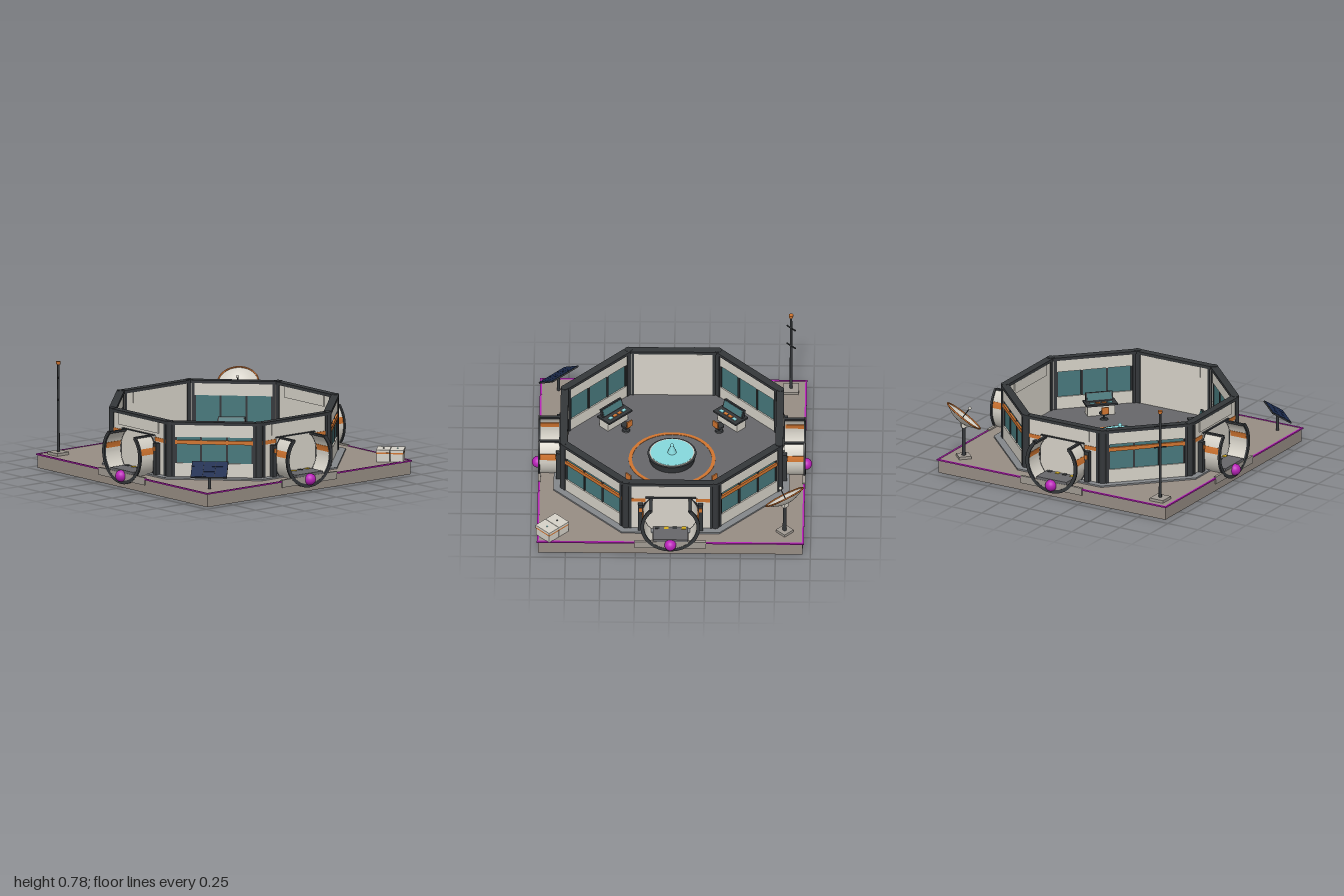
import * as THREE from 'three';
import { toCreasedNormals } from 'three/addons/utils/BufferGeometryUtils.js';

const paint = (color) => new THREE.MeshStandardMaterial({ color });
const cream = paint(0xd6d2c8), dark = paint(0x34373a), orange = paint(0xd0742f), glass = paint(0x47787c);
const glow = paint(0x86d8dc), magenta = paint(0xb822b8), navy = paint(0x1c2c50), yellow = paint(0xd8b020);
const soil = paint(0x978d84), slab = paint(0x84878a), deck = paint(0x67676a), stone = paint(0xa09a92);
const dishMat = paint(0xd6d2c8);
dishMat.side = THREE.DoubleSide;

const APOTHEM = 0.77, SIDE = 0.638, CORNER = 0.834, GROUND = 0.1, FLOOR = 0.118;

function add(parent, name, geo, mat, x = 0, y = 0, z = 0) {
  const m = new THREE.Mesh(geo, mat);
  m.name = name;
  m.position.set(x, y, z);
  parent.add(m);
  return m;
}
const box = (p, name, mat, w, h, d, x, y, z) => add(p, name, new THREE.BoxGeometry(w, h, d), mat, x, y, z);
const cyl = (p, name, mat, r0, r1, h, x, y, z, n = 24) => add(p, name, new THREE.CylinderGeometry(r0, r1, h, n), mat, x, y, z);

function group(parent, name, x = 0, y = 0, z = 0, ry = 0) {
  const g = new THREE.Group();
  g.name = name;
  g.position.set(x, y, z);
  g.rotation.y = ry;
  parent.add(g);
  return g;
}

// Extruded sector of a ring, lying in the xy plane
function arcBand(r0, r1, a0, a1, depth) {
  const s = new THREE.Shape();
  s.absarc(0, 0, r1, a0, a1, false);
  s.absarc(0, 0, r0, a1, a0, true);
  s.closePath();
  return toCreasedNormals(new THREE.ExtrudeGeometry(s, { depth, bevelEnabled: false, curveSegments: 32 }), 0.6);
}

function octagon(p, name, mat, apothem, y0, y1) {
  const r = apothem / Math.cos(Math.PI / 8);
  const m = cyl(p, name, mat, r, r, y1 - y0, 0, (y0 + y1) / 2, 0, 8);
  m.geometry.rotateY(Math.PI / 8);
  m.geometry = toCreasedNormals(m.geometry, 0.3);
}

// Diagonal wall: three panes between a sill and a header
function windowWall(w) {
  box(w, 'sill', cream, SIDE, 0.1, 0.04, 0, 0.16, 0);
  box(w, 'header', cream, SIDE, 0.1, 0.04, 0, 0.45, 0);
  box(w, 'windowGlass', glass, 0.58, 0.2, 0.02, 0, 0.305, 0);
  for (const s of [-1, 1]) {
    box(w, 'wallEnd', cream, 0.04, 0.2, 0.04, s * 0.3, 0.305, 0);
    for (const x of [0.093, 0.275]) box(w, 'mullion', dark, 0.014, 0.2, 0.034, s * x, 0.305, 0);
  }
  box(w, 'wallStripe', orange, 0.6, 0.028, 0.02, 0, 0.362, 0.014);
}

// Straight wall with a closed door and a docking tunnel open at the top
function dockWall(w) {
  box(w, 'solidWall', cream, SIDE, 0.39, 0.04, 0, 0.305, 0);
  box(w, 'wallStripe', orange, 0.6, 0.028, 0.01, 0, 0.362, 0.019);
  for (const z of [-0.022, 0.022]) box(w, 'upperPanel', cream, 0.44, 0.08, 0.012, 0, 0.448, z);
  box(w, 'door', cream, 0.36, 0.27, 0.02, 0, 0.25, 0.022);
  box(w, 'doorHead', dark, 0.36, 0.008, 0.024, 0, 0.387, 0.022);

  const t = group(w, 'dockingTunnel', 0, 0.24, 0);
  const a0 = Math.PI * 0.75, a1 = Math.PI * 2.25;
  add(t, 'tunnelShell', arcBand(0.19, 0.202, a0, a1, 0.165), cream, 0, 0, 0.012);
  add(t, 'tunnelRing', arcBand(0.188, 0.213, a0, a1, 0.014), dark, 0, 0, 0.172);
  add(t, 'wallRing', arcBand(0.188, 0.21, a0, a1, 0.014), dark, 0, 0, 0.02);
  for (const a of [0.09, Math.PI - 0.32])
    add(t, 'tunnelStripe', arcBand(0.188, 0.205, a, a + 0.23, 0.13), orange, 0, 0, 0.04);
  for (const s of [-1, 1]) {
    box(t, 'edgeRail', dark, 0.022, 0.014, 0.165, s * 0.139, 0.14, 0.095);
    box(w, 'sidePillar', dark, 0.035, 0.23, 0.035, s * 0.215, 0.225, 0.038);
    box(w, 'pillarLamp', orange, 0.02, 0.03, 0.006, s * 0.215, 0.3, 0.058);
  }
  box(w, 'tunnelFloor', deck, 0.25, 0.03, 0.165, 0, 0.115, 0.1);
  [-0.095, -0.03, 0.03, 0.095].forEach((x, i) =>
    box(w, 'floorMark', i % 2 ? yellow : dark, 0.03, 0.004, 0.03, x, 0.131, 0.045));
  box(w, 'collarPlate', stone, 0.51, 0.055, 0.02, 0, 0.083, 0.175);
  add(w, 'dockBall', new THREE.SphereGeometry(0.042, 24, 16), magenta, 0, 0.086, 0.188);
}

// Desk faces -z, toward the room centre
function consoleDesk(p) {
  box(p, 'deskBody', cream, 0.2, 0.08, 0.085, 0, 0.158, 0.01);
  box(p, 'deskTop', dark, 0.23, 0.014, 0.125, 0, 0.204, 0);
  const s = box(p, 'screenCase', dark, 0.2, 0.065, 0.02, 0, 0.24, 0.035);
  s.rotation.x = 0.3;
  box(s, 'screen', glass, 0.18, 0.05, 0.004, 0, 0, -0.011);
  [-0.066, -0.022, 0.022, 0.066].forEach((x, i) =>
    box(p, 'deskKey', i % 3 ? orange : glow, 0.03, 0.005, 0.022, x, 0.213, -0.025));
  const c = group(p, 'chair', 0, 0, -0.115);
  cyl(c, 'chairFoot', dark, 0.025, 0.03, 0.008, 0, FLOOR + 0.004, 0);
  cyl(c, 'chairPost', dark, 0.007, 0.007, 0.04, 0, 0.14, 0, 12);
  cyl(c, 'chairSeat', dark, 0.035, 0.035, 0.014, 0, 0.165, 0);
  box(c, 'chairBack', orange, 0.05, 0.05, 0.01, 0, 0.195, -0.035);
}

function dishAntenna(p) {
  box(p, 'dishFoot', stone, 0.09, 0.02, 0.09, 0, GROUND + 0.01, 0);
  cyl(p, 'dishPost', dark, 0.012, 0.015, 0.24, 0, 0.23, 0, 12);
  box(p, 'dishMount', cream, 0.04, 0.04, 0.04, 0, 0.352, 0);
  // tilted about local x so the bowl looks up and toward the centre (-z)
  const d = group(p, 'dish', 0, 0.415, 0);
  d.rotation.x = -0.69;
  const profile = [];
  for (let i = 0; i <= 8; i++) profile.push(new THREE.Vector2(0.147 * i / 8, 0.05 * (i / 8) ** 2 - 0.05));
  add(d, 'bowl', new THREE.LatheGeometry(profile, 40), dishMat);
  add(d, 'dishRim', new THREE.TorusGeometry(0.147, 0.006, 8, 48).rotateX(Math.PI / 2), orange);
  cyl(d, 'feedRod', dark, 0.004, 0.004, 0.12, 0, 0.01, 0, 8);
  add(d, 'feedHead', new THREE.SphereGeometry(0.012, 12, 8), cream, 0, 0.07, 0);
}

function mast(p) {
  box(p, 'mastFoot', stone, 0.11, 0.02, 0.11, 0, GROUND + 0.01, 0);
  cyl(p, 'mastPole', dark, 0.008, 0.011, 0.65, 0, 0.435, 0, 12);
  for (const y of [0.5, 0.66]) box(p, 'mastArm', dark, 0.09, 0.008, 0.008, 0, y, 0).rotation.y = Math.PI / 4;
  cyl(p, 'mastTip', orange, 0.017, 0.014, 0.022, 0, 0.767, 0, 16);
}

// Panel faces +z and up
function solarPanel(p) {
  cyl(p, 'panelPost', dark, 0.01, 0.012, 0.14, 0, 0.165, 0, 12);
  const s = group(p, 'panel', 0, 0.237, 0);
  s.rotation.x = 0.57;
  box(s, 'panelFrame', dark, 0.26, 0.01, 0.165, 0, 0, 0);
  for (let i = -1; i <= 1; i++)
    for (let j = -1; j <= 1; j++) box(s, 'solarCell', navy, 0.082, 0.006, 0.051, i * 0.085, 0.004, j * 0.053);
}

function crates(p) {
  for (const s of [-1, 1]) {
    const c = group(p, 'crate', 0, GROUND, s * 0.05);
    box(c, 'crateBody', cream, 0.135, 0.07, 0.092, 0, 0.035, 0);
    box(c, 'crateBand', orange, 0.138, 0.01, 0.095, 0, 0.062, 0);
    box(c, 'crateLid', cream, 0.14, 0.018, 0.097, 0, 0.077, 0);
    cyl(c, 'crateLatch', s > 0 ? glow : dark, 0.006, 0.006, 0.006, 0, 0.088, 0, 12);
  }
}

export function createModel() {
  const root = new THREE.Group();
  root.name = 'outpost';

  // Ground slab, edging and floor
  box(root, 'groundSlab', soil, 1.89, GROUND, 1.89, 0, GROUND / 2, 0);
  for (let i = 0; i < 4; i++) {
    const g = group(root, 'edging', 0, 0, 0, i * Math.PI / 2);
    box(g, 'edgeStrip', magenta, 1.908, 0.01, 0.014, 0, 0.098, 0.947);
  }
  octagon(root, 'foundation', slab, 0.842, 0.09, 0.111);
  octagon(root, 'floor', deck, 0.765, 0.1, FLOOR);

  // Eight walls with corner posts and cap beams
  for (let i = 0; i < 8; i++) {
    const a = i * Math.PI / 4, b = a + Math.PI / 8;
    const w = group(root, i % 2 ? 'windowWall' : 'dockWall', Math.sin(a) * APOTHEM, 0, Math.cos(a) * APOTHEM, a);
    (i % 2 ? windowWall : dockWall)(w);
    box(w, 'capBeam', dark, SIDE, 0.022, 0.055, 0, 0.499, 0);
    for (const s of [-1, 1]) box(w, 'endTrim', dark, 0.02, 0.39, 0.052, s * 0.29, 0.305, 0);
    cyl(root, 'cornerPost', dark, 0.027, 0.027, 0.405, Math.sin(b) * CORNER, 0.31, Math.cos(b) * CORNER, 16);
  }

  // Projection table in the middle
  const t = group(root, 'projectionTable');
  const ring = add(t, 'floorRing', arcBand(0.285, 0.31, 0, Math.PI * 2 - 1e-4, 0.004), orange, 0, FLOOR - 0.001, 0);
  ring.rotation.x = -Math.PI / 2;
  cyl(t, 'tableBody', dark, 0.175, 0.16, 0.06, 0, 0.145, 0, 48);
  cyl(t, 'tableRim', cream, 0.16, 0.16, 0.006, 0, 0.176, 0, 48);
  cyl(t, 'tableGlow', glow, 0.153, 0.153, 0.006, 0, 0.178, 0, 48);
  cyl(t, 'projectionCone', glow, 0.012, 0.032, 0.06, 0, 0.21, 0);
  add(t, 'projectionBall', new THREE.SphereGeometry(0.014, 16, 10), glow, 0, 0.243, 0);

  // Four consoles on the diagonals
  for (let i = 0; i < 4; i++) {
    const a = Math.PI / 4 + i * Math.PI / 2;
    consoleDesk(group(root, 'console', Math.sin(a) * 0.585, 0, Math.cos(a) * 0.585, a));
  }

  // Equipment on the corners of the slab
  dishAntenna(group(root, 'dishAntenna', 0.812, 0, -0.815, Math.PI * 0.75));
  mast(group(root, 'mast', -0.84, 0, -0.84));
  solarPanel(group(root, 'solarPanel', -0.82, 0, 0.82, -Math.PI / 4));
  crates(group(root, 'crates', 0.845, 0, 0.845, Math.PI / 4));
  return root;
}
